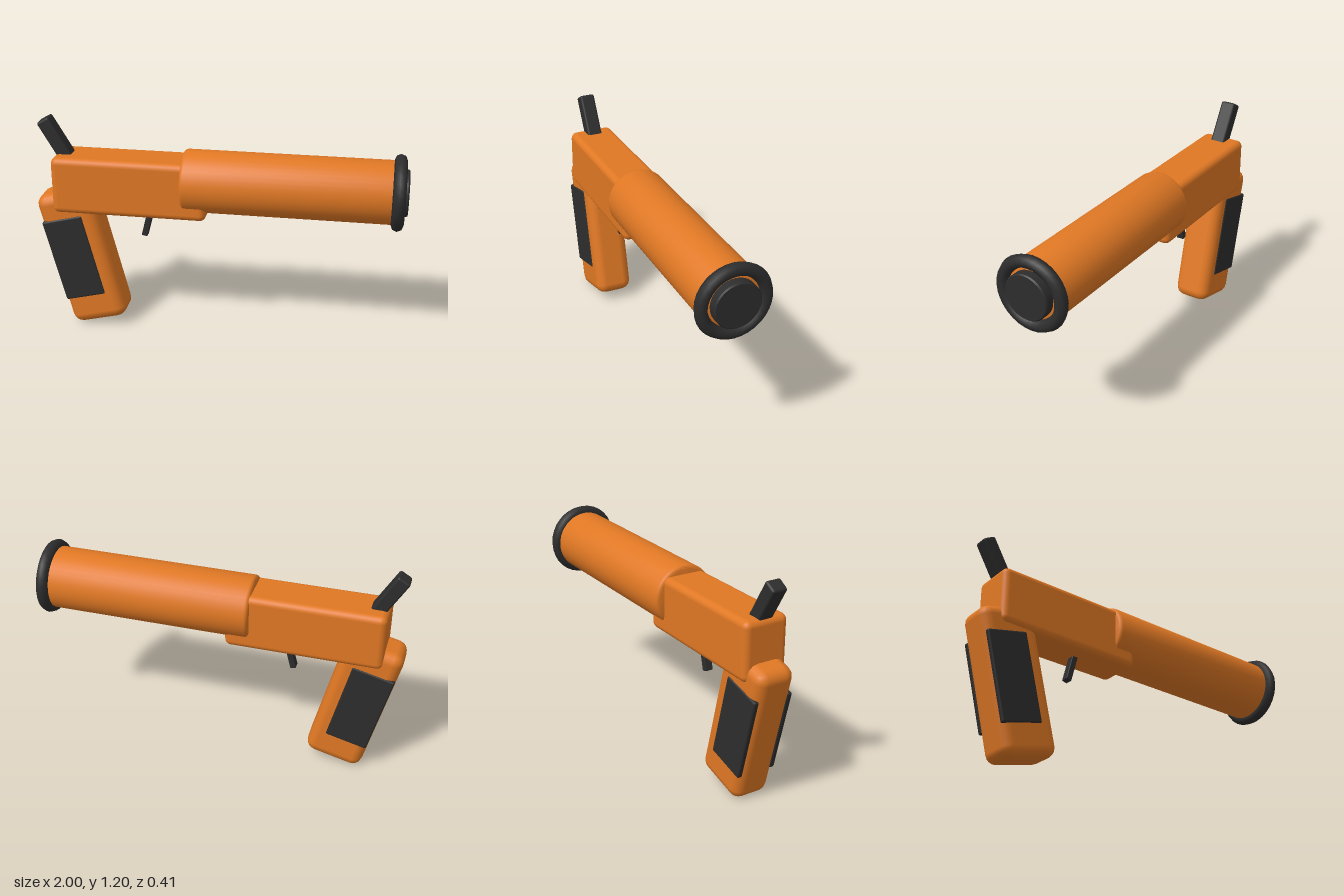
import * as THREE from 'three';
import { RoundedBoxGeometry } from 'three/addons/geometries/RoundedBoxGeometry.js';
import { toCreasedNormals } from 'three/addons/utils/BufferGeometryUtils.js';

export function createModel() {
  const orange = new THREE.MeshStandardMaterial({ color: 0xe07824 });
  orange.name = 'orange';
  const black = new THREE.MeshStandardMaterial({ color: 0x2d2d2d });
  black.name = 'black';

  const model = new THREE.Group();
  model.name = 'flareGun';
  const axisY = 0.873;

  function add(name, geometry, material, x, y, z = 0, tilt = 0) {
    const mesh = new THREE.Mesh(geometry, material);
    mesh.name = name;
    mesh.position.set(x, y, z);
    mesh.rotation.z = tilt;
    model.add(mesh);
    return mesh;
  }
  const block = (w, h, d, r, segments = 3) => new RoundedBoxGeometry(w, h, d, segments, r);

  // Solid of revolution along the bore; profile is [radius, x]
  function turned(name, profile, material) {
    const points = profile.map(([r, x]) => new THREE.Vector2(r, x));
    const geometry = toCreasedNormals(new THREE.LatheGeometry(points, 40), 0.6);
    return add(name, geometry, material, 0, axisY, 0, -Math.PI / 2);
  }

  // Barrel with a softened rear edge, muzzle plug and muzzle ring
  turned('barrel', [[0, -0.195], [0.15, -0.195], [0.16, -0.192], [0.167, -0.185],
    [0.17, -0.175], [0.17, 0.93], [0.165, 0.945], [0.155, 0.95], [0, 0.95]], orange);
  turned('muzzlePlug', [[0, 0.9], [0.124, 0.9], [0.124, 0.993], [0.118, 1], [0, 1]], black);
  const ring = add('muzzleRing', new THREE.TorusGeometry(0.17, 0.034, 8, 32), black, 0.949, axisY);
  ring.rotation.y = Math.PI / 2;

  // Frame under and behind the barrel
  add('frame', block(0.845, 0.315, 0.25, 0.035), orange, -0.4825, 0.838);

  // Raked grip with a panel on each side
  const rake = 0.244;
  add('grip', block(0.318, 0.787, 0.214, 0.056, 2), orange, -0.767, 0.406, 0, rake);
  for (const side of [1, -1]) {
    add(side > 0 ? 'gripPanelFront' : 'gripPanelBack',
      block(0.232, 0.48, 0.03, 0.01, 2), black, -0.805, 0.408, side * 0.098, rake);
  }

  // Trigger and hammer
  add('trigger', block(0.032, 0.2, 0.044, 0.004, 2), black, -0.395, 0.634, 0, -0.25);
  add('hammer', block(0.075, 0.26, 0.085, 0.012, 2), black, -0.894, 1.068, 0, 0.53);

  return model;
}
